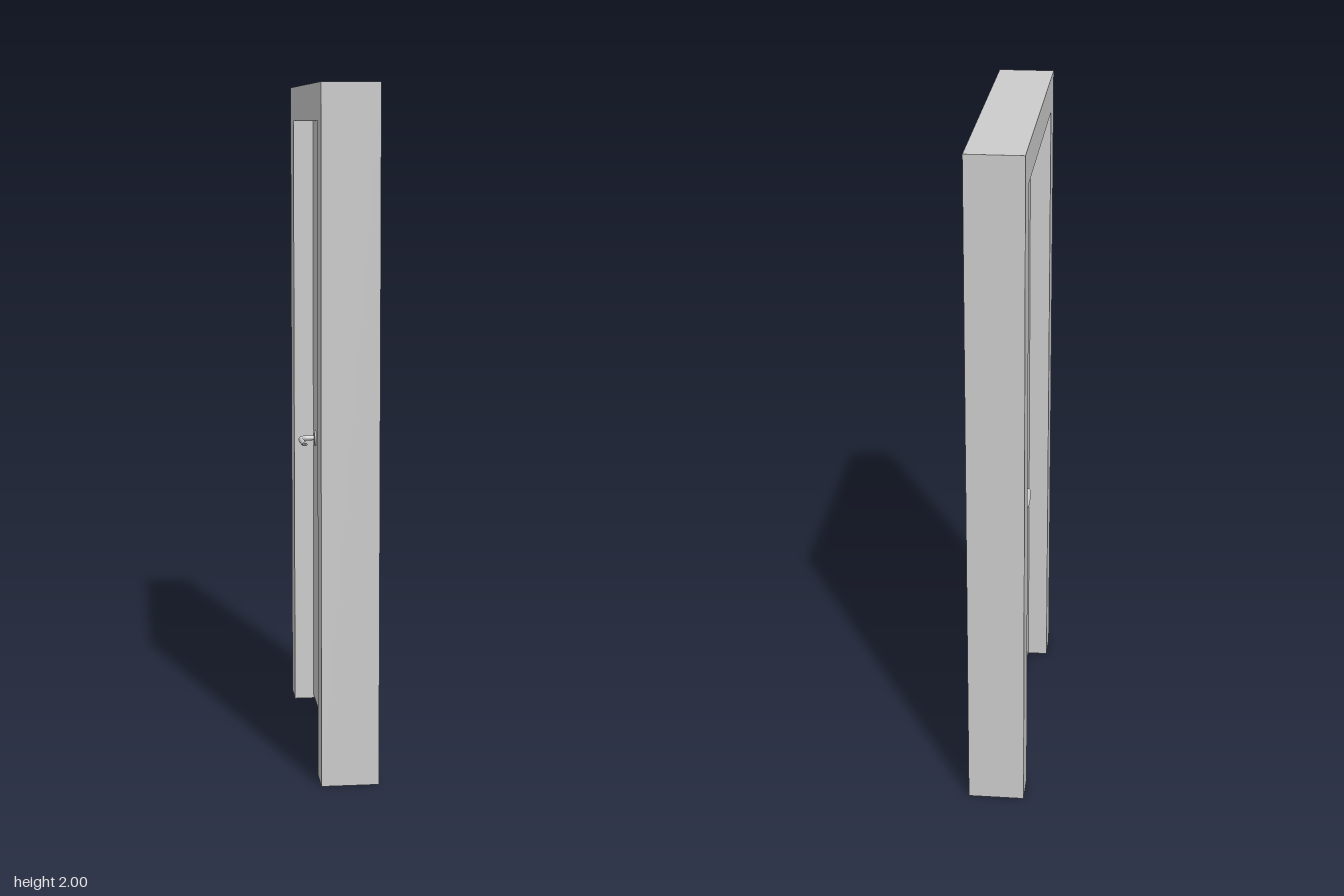
import * as THREE from 'three';

const material = new THREE.MeshStandardMaterial({ color: 0xcccccc });

function addMesh(parent, name, geometry) {
  const mesh = new THREE.Mesh(geometry, material);
  mesh.name = name;
  parent.add(mesh);
  return mesh;
}

// Lever handle on one face of the door; side is +1 or -1 along x
function createHandle(side, faceX) {
  const handle = new THREE.Group();
  handle.name = side > 0 ? 'leftHandle' : 'rightHandle';
  handle.position.set(faceX, 0.887, 0);
  const radius = 0.008;
  const pivotZ = -0.309;

  // Thin round plate against the door
  const plate = new THREE.CylinderGeometry(0.025, 0.025, 0.005, 32);
  plate.rotateZ(Math.PI / 2).translate(side * 0.0025, 0, pivotZ);
  addMesh(handle, 'rosette', plate);

  // Shank that bends into a slightly bowed grip
  const path = new THREE.CatmullRomCurve3([
    [0, pivotZ], [0.02, pivotZ], [0.036, -0.307], [0.046, -0.295],
    [0.05, -0.265], [0.0485, -0.225], [0.046, -0.18],
  ].map(([x, z]) => new THREE.Vector3(side * x, 0, z)));
  addMesh(handle, 'lever', new THREE.TubeGeometry(path, 40, radius, 16));

  // Flat end of the grip
  const cap = addMesh(handle, 'leverEnd', new THREE.CircleGeometry(radius, 16));
  cap.position.copy(path.getPoint(1));
  cap.lookAt(path.getPoint(1).add(path.getTangent(1)));
  return handle;
}

export function createModel() {
  const model = new THREE.Group();
  model.name = 'door';

  const frameMin = -0.0845, frameMax = 0.082;
  const leafMin = -0.0225, leafMax = 0.0265;
  const openBack = -0.38, openFront = 0.384, openTop = 1.895;

  // Frame: two jambs and a head, open at the floor
  const outline = new THREE.Shape([
    [-0.484, 0], [openBack, 0], [openBack, openTop], [openFront, openTop],
    [openFront, 0], [0.484, 0], [0.484, 2], [-0.484, 2],
  ].map(([z, y]) => new THREE.Vector2(z, y)));
  const frame = new THREE.ExtrudeGeometry(outline, { depth: frameMax - frameMin, bevelEnabled: false });
  frame.rotateY(-Math.PI / 2).translate(frameMax, 0, 0);
  addMesh(model, 'frame', frame);

  // Door leaf, just clear of the floor
  const gap = 0.01;
  const leaf = new THREE.BoxGeometry(leafMax - leafMin, openTop - gap, openFront - openBack);
  leaf.translate((leafMin + leafMax) / 2, (openTop + gap) / 2, (openFront + openBack) / 2);
  addMesh(model, 'doorLeaf', leaf);

  // A handle on each side
  model.add(createHandle(1, leafMax), createHandle(-1, leafMin));
  return model;
}
